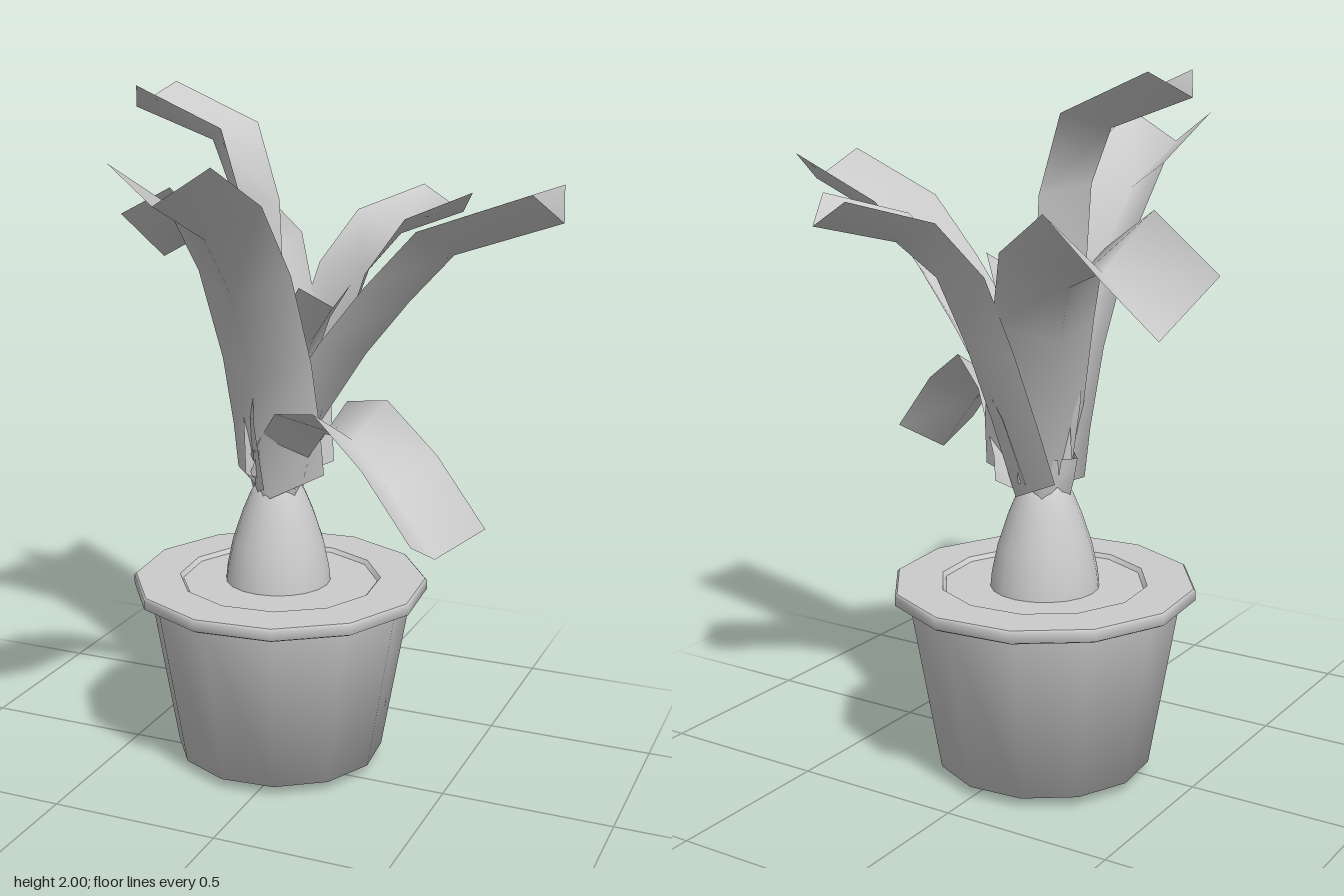
import * as THREE from 'three';

const grey = new THREE.MeshStandardMaterial({ color: 0xcccccc, side: THREE.DoubleSide });

function addMesh(parent, name, geometry) {
  const mesh = new THREE.Mesh(geometry, grey);
  mesh.name = name;
  parent.add(mesh);
  return mesh;
}

// Turned part; each profile is [radius, y] pairs running from the bottom outward and up
function lathe(parent, name, profile, sides, phase = 0) {
  const points = profile.map(([r, y]) => new THREE.Vector2(r, y));
  return addMesh(parent, name, new THREE.LatheGeometry(points, sides, phase));
}

// V-folded strip: the midrib follows [distance, y, sideways bend] points from start towards tip;
// both edges are raised along the path normal and swept back along the path
function leafGeometry({ start, tip, half, rise, sweep = 0, path }) {
  const dir = new THREE.Vector2(tip[0] - start[0], tip[1] - start[1]).normalize();
  const positions = [], index = [];
  path.forEach(([s, y, bend = 0], i) => {
    const a = path[Math.max(i - 1, 0)], b = path[Math.min(i + 1, path.length - 1)];
    const t = new THREE.Vector2(b[0] - a[0], b[1] - a[1]).normalize();
    const back = i === 0 ? -0.04 : sweep; // the base is cut to a point
    for (const side of [-1, 0, 1]) {
      const edge = Math.abs(side);
      const along = s - edge * (t.y * rise + t.x * back);
      const across = bend + half * side;
      positions.push(
        start[0] + dir.x * along - dir.y * across,
        y + edge * (t.x * rise - t.y * back),
        start[1] + dir.y * along + dir.x * across
      );
    }
    if (i === 0) return;
    for (let j = 0; j < 2; j++) {
      const p = (i - 1) * 3 + j, q = p + 3;
      index.push(p, p + 1, q, q, p + 1, q + 1);
    }
  });
  const geometry = new THREE.BufferGeometry();
  geometry.setAttribute('position', new THREE.Float32BufferAttribute(positions, 3));
  geometry.setIndex(index);
  geometry.computeVertexNormals();
  return geometry;
}

const leaves = {
  frontLeaf: {
    start: [-0.05, -0.05], tip: [-0.025, 0.74], half: 0.135, rise: 0.1,
    path: [[0.05, 0.83], [0.09, 1.0], [0.16, 1.2], [0.31, 1.46], [0.49, 1.645], [0.79, 1.765]],
  },
  backRightLeaf: {
    start: [-0.06, -0.1], tip: [-0.7, -0.62], half: 0.145, rise: 0.14, sweep: 0.045,
    path: [[0.05, 0.83], [0.13, 1.05, 0.02], [0.25, 1.31, 0.035], [0.36, 1.47, 0.055], [0.52, 1.53, 0.025], [0.82, 1.41]],
  },
  tallLeaf: {
    start: [-0.06, -0.045], tip: [-0.48, -0.045], half: 0.123, rise: 0.085, sweep: 0.04,
    path: [[0.05, 0.83], [0.09, 1.1], [0.1, 1.4], [0.12, 1.7], [0.18, 1.85], [0.42, 1.935]],
  },
  leftLeaf: {
    start: [-0.06, -0.11], tip: [0.77, -0.045], half: 0.13, rise: 0.095, sweep: 0.015,
    path: [[0.04, 0.83], [0.12, 1.04, -0.01], [0.26, 1.26, -0.025], [0.39, 1.42, -0.025], [0.52, 1.56, -0.025], [0.835, 1.67]],
  },
  backLeftLeaf: {
    start: [-0.06, -0.12], tip: [0.33, -0.61], half: 0.13, rise: 0.085, sweep: 0.04,
    path: [[0.07, 0.83], [0.14, 1.06], [0.21, 1.27], [0.29, 1.46], [0.4, 1.56], [0.62, 1.61]],
  },
  droopingLeaf: {
    start: [-0.06, -0.09], tip: [0.54, 0.26], half: 0.13, rise: 0.085, sweep: 0.025,
    path: [[0.03, 0.82, -0.04], [0.08, 0.92, -0.03], [0.22, 1.05], [0.4, 1.08, 0.045], [0.56, 0.98, 0.045], [0.695, 0.81]],
  },
  youngLeaf: {
    start: [-0.07, -0.12], tip: [0.18, 0.1], half: 0.08, rise: 0.07,
    path: [[0.03, 0.83], [0.07, 1.05], [0.14, 1.2], [0.22, 1.32], [0.34, 1.43]],
  },
};

export function createModel() {
  const model = new THREE.Group();
  model.name = 'pottedPlant';

  // Twelve-sided pot with a slightly pointed underside
  const pot = new THREE.Group();
  pot.name = 'pot';
  pot.position.set(-0.05, 0, -0.08);
  model.add(pot);
  const phase = THREE.MathUtils.degToRad(20);
  lathe(pot, 'potBody', [[0, 0], [0.31, 0.03], [0.395, 0.53]], 12, phase);
  lathe(pot, 'rimUnderside', [[0.385, 0.53], [0.425, 0.528]], 12, phase);
  lathe(pot, 'rimEdge', [[0.425, 0.528], [0.438, 0.535], [0.438, 0.562], [0.432, 0.568]], 12, phase);
  lathe(pot, 'rimTop', [[0.432, 0.568], [0.3, 0.568]], 12, phase);
  lathe(pot, 'rimInnerWall', [[0.3, 0.568], [0.29, 0.556]], 12, phase);
  lathe(pot, 'soil', [[0.295, 0.556], [0, 0.556]], 12, phase);

  // Swollen stem
  const stem = lathe(model, 'stem',
    [[0.157, 0.55], [0.152, 0.6], [0.135, 0.68], [0.105, 0.77], [0.08, 0.83], [0.06, 0.86], [0, 0.87]], 20);
  stem.position.set(-0.06, 0, -0.09);

  // Leaves
  const crown = new THREE.Group();
  crown.name = 'leaves';
  model.add(crown);
  for (const [name, leaf] of Object.entries(leaves)) addMesh(crown, name, leafGeometry(leaf));

  // Short sheath scales around the leaf bases
  for (let i = 0; i < 5; i++) {
    const a = i * Math.PI * 0.4 + 0.5;
    addMesh(crown, 'sheathScale', leafGeometry({
      start: [-0.06, -0.09], tip: [-0.06 + Math.cos(a), -0.09 + Math.sin(a)], half: 0.045, rise: 0.03,
      path: [[0.075, 0.82], [0.09, 0.88], [0.1, 0.94]],
    }));
  }
  return model;
}
